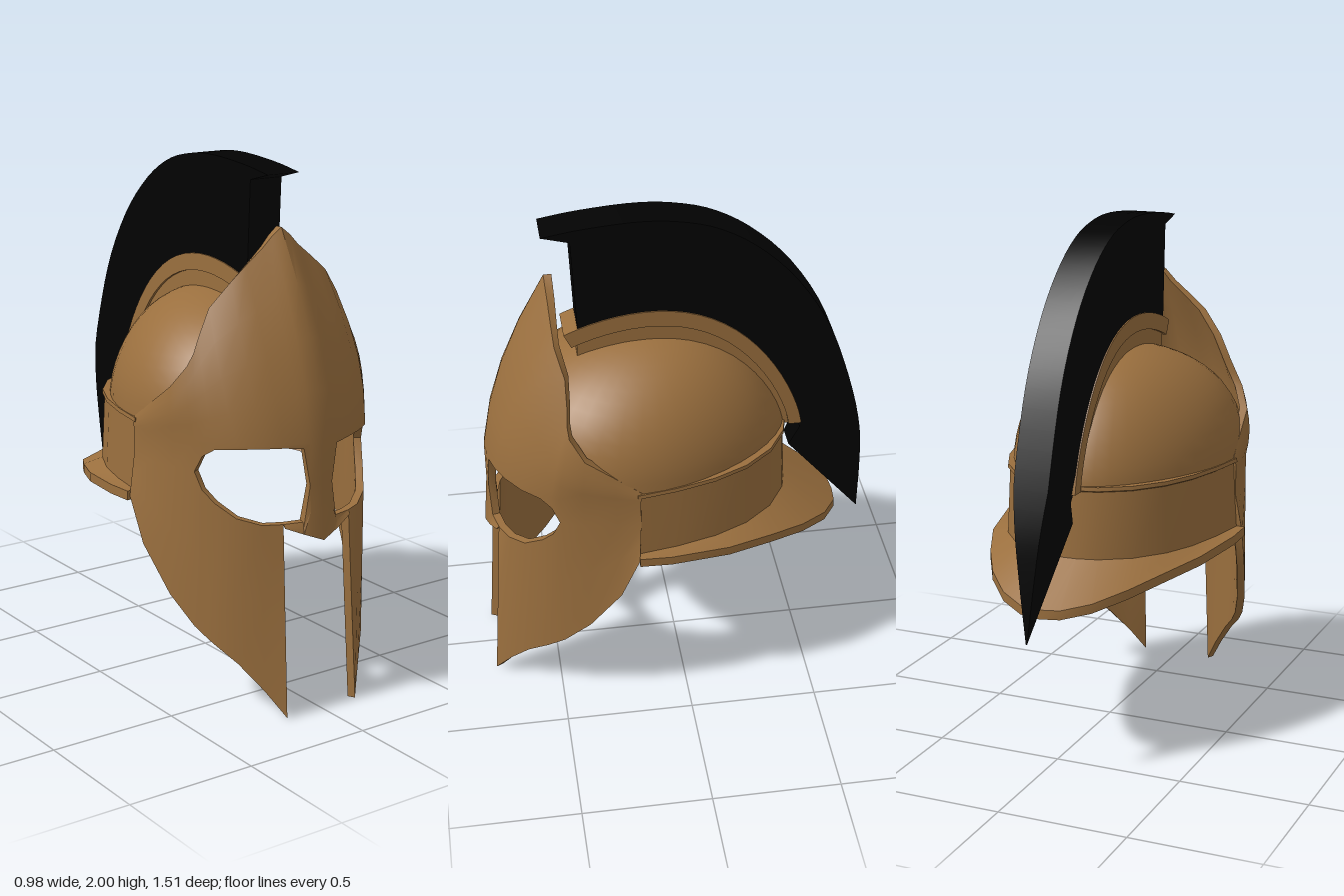
import * as THREE from 'three';
import { mergeGeometries, mergeVertices, toCreasedNormals } from 'three/addons/utils/BufferGeometryUtils.js';

const bronze = new THREE.MeshStandardMaterial({ color: 0x9a6f3e, side: THREE.DoubleSide });
bronze.name = 'bronze';
const black = new THREE.MeshStandardMaterial({ color: 0x020202 });
black.name = 'black horsehair';

const V = (x, y, z) => new THREE.Vector3(x, y, z);

function part(group, name, geometry, material, crease = 0.6) {
  const mesh = new THREE.Mesh(toCreasedNormals(geometry, crease), material);
  mesh.name = name;
  group.add(mesh);
}

// Solid lofted through closed sections: outer points going up, then inner points going down
function loft(sections) {
  const m = sections[0].length, pos = [], idx = [];
  sections.forEach(s => s.forEach(p => pos.push(p.x, p.y, p.z)));
  const quad = (a, b, c, d) => idx.push(a, b, c, a, c, d);
  for (let i = 0; i < sections.length - 1; i++) {
    for (let k = 0; k < m; k++) {
      const n = (k + 1) % m, a = i * m, b = a + m;
      quad(a + k, b + k, b + n, a + n);
    }
  }
  const e = (sections.length - 1) * m;
  for (let k = 0; k < m / 2 - 1; k++) {
    quad(k, k + 1, m - 2 - k, m - 1 - k);
    quad(e + m - 1 - k, e + m - 2 - k, e + k + 1, e + k);
  }
  const g = new THREE.BufferGeometry();
  g.setAttribute('position', new THREE.Float32BufferAttribute(pos, 3));
  g.setIndex(idx);
  return g;
}

// Joins lofts into one shell, dropping the walls where two of them touch
function weld(lofts) {
  const g = mergeVertices(mergeGeometries(lofts), 1e-4);
  const index = Array.from(g.index.array), quads = [], count = {};
  for (let i = 0; i < index.length; i += 6) {
    const ids = index.slice(i, i + 6);
    const key = [...new Set(ids)].sort((a, b) => a - b).join();
    count[key] = (count[key] || 0) + 1;
    quads.push({ ids, key });
  }
  g.setIndex(quads.filter(q => count[q.key] === 1).flatMap(q => q.ids));
  return g;
}

const flip = sections => sections.map(s => s.map(p => V(-p.x, p.y, p.z))).reverse();

// Horizontal outward direction of the mask at a point
const outward = p => V(p.x / 0.22, 0, Math.max(p.z, 0.05) / 0.54).normalize();

// Gives a column of outer points its inner side
function thicken(points, t = 0.03) {
  const inner = points.map(p => p.clone().addScaledVector(outward(p), -t));
  return [...points, ...inner.reverse()];
}

// Mask columns from nose to side: plan x,z | rim x,y,z | eye bottom, eye top | lower edge x,y,z
const COLUMNS = [
  [[0, 0.74], [0, 1.77, 0.48], [0.87, 0.87], [0, 0.66, 0.757]],
  [[0.05, 0.735], [0.04, 1.74, 0.478], [0.87, 0.87], [0.05, 0.68, 0.748]],
  [[0.075, 0.728], [0.08, 1.70, 0.475], [0.735, 1.01], [0.08, 0.692, 0.742]],
  [[0.15, 0.71], [0.15, 1.645, 0.472], [0.735, 1.02], [0.15, 0.722, 0.72]],
  [[0.22, 0.675], [0.215, 1.59, 0.468], [0.735, 1.02], [0.22, 0.10, 0.70]],
  [[0.295, 0.62], [0.29, 1.50, 0.44], [0.76, 1.018], [0.29, 0.20, 0.63]],
  [[0.345, 0.555], [0.335, 1.40, 0.44], [0.81, 1.01], [0.35, 0.27, 0.555]],
  [[0.372, 0.515], [0.36, 1.345, 0.445], [0.855, 0.98], [0.37, 0.30, 0.515]],
  [[0.387, 0.488], [0.385, 1.30, 0.44], [0.92, 0.92], [0.387, 0.325, 0.488]],
  [[0.42, 0.40], [0.425, 1.22, 0.39], [0.92, 0.92], [0.43, 0.43, 0.39]],
  [[0.443, 0.28], [0.435, 1.14, 0.28], [0.92, 0.92], [0.468, 0.60, 0.27]],
  [[0.453, 0.19], [0.445, 1.07, 0.185], [0.92, 0.92], [0.48, 0.77, 0.20]],
];

function upperColumn([[x, z], rim, eye]) {
  const brow = V(x, 1.03, z), top = V(...rim);
  const control = brow.clone().lerp(top, 0.5)
    .addScaledVector(outward(brow), 0.12 * (top.y - brow.y));
  const curve = new THREE.QuadraticBezierCurve3(brow, control, top);
  return thicken([V(x, eye[1], z), ...curve.getPoints(4)]);
}

function lowerColumn([[x, z], , eye, low]) {
  const a = V(...low), b = V(x, eye[0], z);
  return thicken([a, a.clone().lerp(b, 0.5), b]);
}

function addMask(group) {
  const brow = COLUMNS.map(upperColumn);
  const nose = COLUMNS.slice(0, 4).map(lowerColumn);
  // Each cheek starts at the column where the nose guard ends
  const [plan, rim, eye] = COLUMNS[3];
  const cheek = [[plan, rim, eye, [0.16, 0, 0.76]], ...COLUMNS.slice(4)].map(lowerColumn);
  part(group, 'faceMask', weld([
    loft([...flip(brow.slice(1)), ...brow]),
    loft([...flip(nose.slice(1)), ...nose]),
    loft(cheek),
    loft(flip(cheek)),
  ]), bronze);
}

// Dome shell: half sphere, broader and fuller toward the front, set in by the given amount
function domeShell(inset) {
  const g = new THREE.SphereGeometry(1, 40, 14, 0, Math.PI * 2, 0, Math.PI / 2);
  const p = g.attributes.position;
  for (let i = 0; i < p.count; i++) {
    const x = p.getX(i), y = Math.max(p.getY(i), 0), z = p.getZ(i);
    p.setXYZ(i, x * (0.435 - inset) * (1 + 0.22 * z),
      1.05 + (0.45 - inset) * Math.pow(y, 1 - 0.3 * z),
      0.1 + z * ((z > 0 ? 0.56 : 0.53) - inset));
  }
  return g;
}

// Neck band and flared brim: band x,z | brim x,y,z, from the side to the back
const NECK = [
  [[0.455, 0.2], [0.49, 0.775, 0.2]],
  [[0.43, 0.05], [0.488, 0.77, 0.08]],
  [[0.39, -0.1], [0.44, 0.75, -0.15]],
  [[0.33, -0.23], [0.36, 0.725, -0.33]],
  [[0.24, -0.34], [0.28, 0.695, -0.47]],
  [[0.13, -0.41], [0.18, 0.66, -0.58]],
  [[0.05, -0.43], [0.08, 0.64, -0.64]],
  [[0, -0.432], [0, 0.635, -0.648]],
];

function addNeck(group) {
  const around = half => [...half, ...flip(half).slice(1)];
  const at = (x, z, d, y) => {
    const n = V(x / 0.2, 0, (z - 0.2) / 0.4).normalize();
    return V(x + n.x * d, y, z + n.z * d);
  };
  const band = NECK.map(([[x, z]]) => [
    at(x, z, 0.004, 0.77), at(x, z, -0.009, 1.045), at(x, z, 0, 1.05), at(x, z, -0.002, 1.065),
    at(x, z, -0.05, 1.065), at(x, z, -0.042, 1.05), at(x, z, -0.036, 1.045), at(x, z, -0.022, 0.77),
  ]);
  part(group, 'neckBand', loft(around(band)), bronze);

  const brim = NECK.map(([[x, z], [bx, by, bz]]) => [
    V(bx, by - 0.022, bz), V(bx, by + 0.014, bz), at(x, z, 0, 0.79), at(x, z, -0.022, 0.76),
  ]);
  part(group, 'neckBrim', loft(around(brim)), bronze);
}

// Points on the arch over the dome, as (z, y), fuller toward the front
function arch(rz, ry, from, to, n = 24) {
  return Array.from({ length: n + 1 }, (_, i) => {
    const a = THREE.MathUtils.degToRad(from + (to - from) * i / n), c = Math.cos(a);
    const s = Math.max(Math.sin(a), 0);
    return new THREE.Vector2(0.1 + rz * c, 1.05 + ry * Math.pow(s, 1 - 0.4 * c));
  });
}

// Side profile in (z, y) extruded across the width
function sidePlate(points, halfWidth) {
  const g = new THREE.ExtrudeGeometry(new THREE.Shape(points), { depth: 2 * halfWidth, bevelEnabled: false });
  g.rotateY(-Math.PI / 2);
  g.translate(halfWidth, 0, 0);
  return g;
}

function addCrest(group) {
  const upper = [...arch(0.59, 0.57, 57, 180), ...arch(0.54, 0.505, 180, 57)];
  part(group, 'crestHolder', sidePlate(upper, 0.075), bronze);
  const lower = [...arch(0.545, 0.51, 60, 180), ...arch(0.5, 0.43, 180, 57)];
  part(group, 'crestHolderBase', sidePlate(lower, 0.065), bronze);

  const back = new THREE.SplineCurve([
    [0.49, 1.963], [0.35, 1.985], [0.15, 2.0], [0, 1.99], [-0.15, 1.95], [-0.3, 1.86], [-0.45, 1.71],
    [-0.58, 1.5], [-0.67, 1.25], [-0.73, 1.0], [-0.748, 0.8], [-0.755, 0.55],
  ].map(p => new THREE.Vector2(...p))).getPoints(40);
  const outline = [...back, new THREE.Vector2(-0.45, 0.93), new THREE.Vector2(-0.49, 1.02),
    ...arch(0.57, 0.55, 176, 62), new THREE.Vector2(0.385, 1.935)];
  const plume = sidePlate(outline, 0.07);
  // Narrow the tail to a point
  const p = plume.attributes.position;
  for (let i = 0; i < p.count; i++) {
    const k = THREE.MathUtils.clamp((p.getY(i) - 0.53) / 0.6, 0.03, 1);
    p.setX(i, p.getX(i) * k);
  }
  part(group, 'plume', plume, black);
}

export function createModel() {
  const group = new THREE.Group();
  group.name = 'crestedHelmet';
  addMask(group);
  part(group, 'dome', domeShell(0), bronze, 0.9);
  part(group, 'domeLining', domeShell(0.03), bronze, 0.9);
  addNeck(group);
  addCrest(group);
  return group;
}
